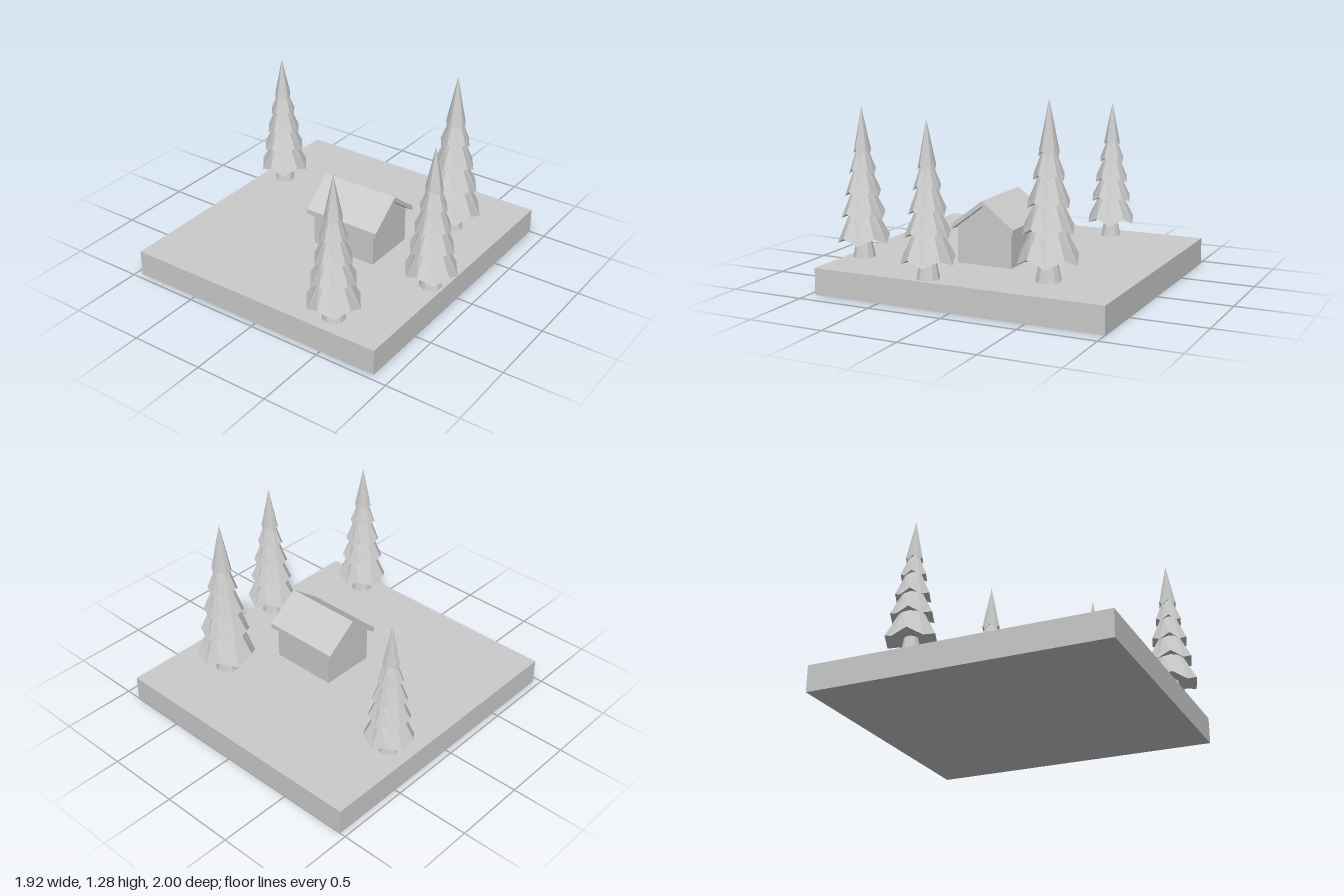
import * as THREE from 'three';

const GROUND = 0.175;
const material = new THREE.MeshStandardMaterial({ color: 0xcccccc, flatShading: true });

function addMesh(parent, name, geometry) {
  const mesh = new THREE.Mesh(geometry, material);
  mesh.name = name;
  parent.add(mesh);
  return mesh;
}

// Extrudes a z/y outline along x, from x0 to x1
function extrudeAlongX(outline, x0, x1) {
  const shape = new THREE.Shape(outline.map(([z, y]) => new THREE.Vector2(z, y)));
  return new THREE.ExtrudeGeometry(shape, { depth: x1 - x0, bevelEnabled: false })
    .rotateY(-Math.PI / 2)
    .translate(x1, 0, 0);
}

// Tiers of a unit-height tree: [rim radius, height of the low rim points]
const TIERS = [[0.173, 0.1], [0.145, 0.265], [0.119, 0.41], [0.088, 0.56], [0.058, 0.69]];
const SIDES = 10;

// Stacked ten-sided skirts; every second rim corner is lifted into a zigzag hem
function foliageGeometry() {
  const points = [new THREE.Vector2(0.045, 0.14)];
  const lifts = [0];
  TIERS.forEach(([radius, y], i) => {
    points.push(new THREE.Vector2(radius, y));
    lifts.push(0.022 + radius * 0.13);
    const next = TIERS[i + 1];
    points.push(next ? new THREE.Vector2(next[0] * 0.62, next[1] + 0.035) : new THREE.Vector2(0, 1));
    lifts.push(0);
  });
  const geometry = new THREE.LatheGeometry(points, SIDES);
  const position = geometry.attributes.position;
  for (let v = 0; v < position.count; v++) {
    const side = Math.floor(v / points.length);
    if (side % 2 === 0) position.setY(v, position.getY(v) + lifts[v % points.length]);
  }
  geometry.computeVertexNormals();
  return geometry;
}

export function createModel() {
  const model = new THREE.Group();
  model.name = 'cabinInClearing';

  // Ground slab
  addMesh(model, 'ground', new THREE.BoxGeometry(1.85, GROUND, 1.96).translate(-0.035, GROUND / 2, -0.02));

  // Cabin with gabled walls and an overhanging roof
  const cabin = new THREE.Group();
  cabin.name = 'cabin';
  model.add(cabin);
  addMesh(cabin, 'walls', extrudeAlongX(
    [[-0.17, GROUND], [0.21, GROUND], [0.21, 0.418], [0.02, 0.562], [-0.17, 0.418]], -0.09, 0.375));
  addMesh(cabin, 'roof', extrudeAlongX(
    [[0.02, 0.6], [-0.197, 0.433], [-0.197, 0.4], [0.02, 0.565], [0.237, 0.4], [0.237, 0.433]], -0.13, 0.412));

  // Fir trees: [x, base y, z, height]
  const foliage = foliageGeometry();
  const trunk = new THREE.CylinderGeometry(0.042, 0.075, 0.16, SIDES).translate(0, 0.08, 0);
  const trees = [
    [-0.8, 0.175, -0.385, 0.935],
    [0.54, 0.178, -0.495, 1.107],
    [0.8, 0.175, 0.19, 0.98],
    [0.51, 0.182, 0.83, 0.983],
  ];
  trees.forEach(([x, y, z, height], i) => {
    const tree = new THREE.Group();
    tree.name = `tree${i + 1}`;
    addMesh(tree, 'trunk', trunk);
    addMesh(tree, 'foliage', foliage);
    tree.position.set(x, y, z);
    tree.scale.setScalar(height);
    model.add(tree);
  });

  return model;
}
